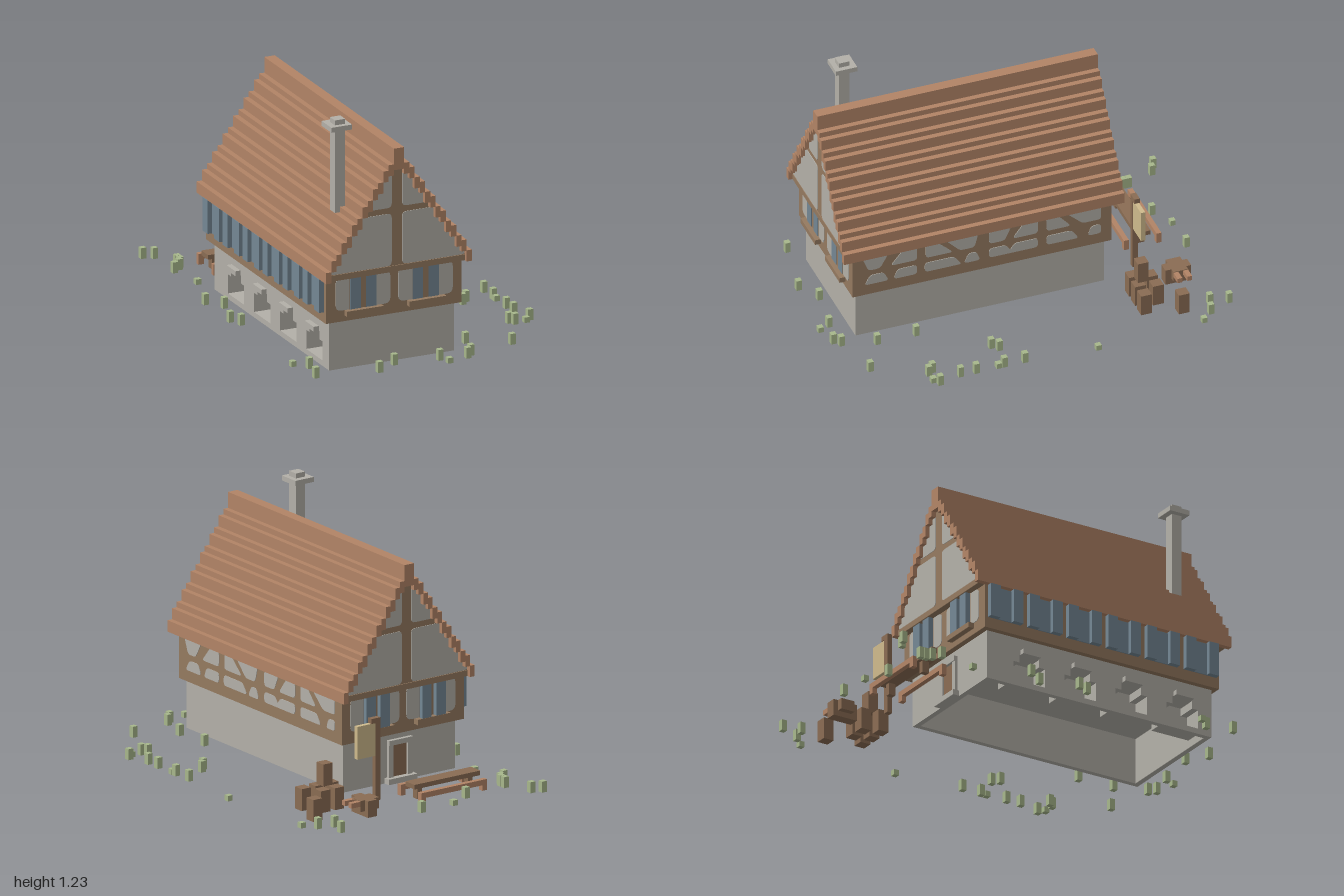
import * as THREE from 'three';

const V = 0.0277; // block unit
const CX = -0.197; // centre line of the house

const mat = (name, color, side = THREE.FrontSide) => {
  const m = new THREE.MeshStandardMaterial({ color, side });
  m.name = name;
  return m;
};

export function createModel() {
  const model = new THREE.Group();
  model.name = 'timberHouse';
  const stone = mat('stone', 0xb3b0a8);
  const timber = mat('timber', 0x957a60);
  const darkWood = mat('darkWood', 0x8a6c53);
  const brick = mat('roofTile', 0xb28466);
  const blue = mat('blueShutter', 0x748794);
  const green = mat('grass', 0xa7b78b);
  const tan = mat('signBoard', 0xcfba8c);

  const group = (name, parent = model) => {
    const g = new THREE.Group();
    g.name = name;
    parent.add(g);
    return g;
  };
  // box given by its extents
  const box = (name, m, x0, x1, y0, y1, z0, z1, parent = model) => {
    const mesh = new THREE.Mesh(new THREE.BoxGeometry(x1 - x0, y1 - y0, z1 - z0), m);
    mesh.position.set((x0 + x1) / 2, (y0 + y1) / 2, (z0 + z1) / 2);
    mesh.name = name;
    parent.add(mesh);
    return mesh;
  };
  const polygon = (pts) => new THREE.Shape(pts.map(([x, y]) => new THREE.Vector2(x, y)));
  const extrude = (name, m, shape, depth, parent) => {
    const geo = new THREE.ExtrudeGeometry(shape, { depth, bevelEnabled: false, curveSegments: 4 });
    const mesh = new THREE.Mesh(geo, m);
    mesh.name = name;
    parent.add(mesh);
    return mesh;
  };
  // thin infill plate with softened corners
  const panel = (pts, parent, r = 0.022) => {
    const s = new THREE.Shape();
    const P = pts.map(([x, y]) => new THREE.Vector2(x, y));
    P.forEach((p, i) => {
      const a = P[(i + P.length - 1) % P.length], b = P[(i + 1) % P.length];
      const near = (q) => p.clone().lerp(q, Math.min(0.4, r / p.distanceTo(q)));
      const s0 = near(a), s1 = near(b);
      if (i) s.lineTo(s0.x, s0.y); else s.moveTo(s0.x, s0.y);
      s.quadraticCurveTo(p.x, p.y, s1.x, s1.y);
    });
    s.closePath();
    return extrude('plasterPanel', stone, s, 0.004, parent);
  };
  const rect = (x0, x1, y0, y1) => [[x0, y0], [x1, y0], [x1, y1], [x0, y1]];

  // Ground floor: hollow stone shell, open below
  const base = group('stoneBase');
  box('frontWall', stone, -0.53, 0.135, 0, 0.25, 0.835 - V, 0.835, base);
  box('backWall', stone, -0.53, 0.135, 0, 0.25, -0.44, -0.44 + V, base);
  box('leftWall', stone, 0.135 - V, 0.135, 0, 0.25, -0.44 + V, 0.835 - V, base);
  box('ceiling', stone, -0.53 + V, 0.135 - V, 0.235, 0.25, -0.44 + V, 0.835 - V, base);

  // Right wall with arched niches; shape is drawn along z, then turned to face -x
  const rightWall = group('rightWall', base);
  rightWall.rotation.y = -Math.PI / 2;
  rightWall.position.x = -0.53 + V;
  const arch = (c, g) => [
    [c - 0.09 - g, V - g], [c + 0.09 + g, V - g], [c + 0.09 + g, 0.125 + g], [c + 0.055 + g, 0.125 + g],
    [c + 0.055 + g, 0.165 + g], [c - 0.055 - g, 0.165 + g], [c - 0.055 - g, 0.125 + g], [c - 0.09 - g, 0.125 + g]];
  const wallShape = polygon(rect(-0.44 + V, 0.835 - V, 0, 0.25));
  for (const c of [-0.2, 0.09, 0.38, 0.67]) {
    const hole = polygon(arch(c, 0));
    wallShape.holes.push(hole);
    const ring = polygon(arch(c, 0.015));
    ring.holes.push(hole);
    extrude('nicheSides', stone, ring, 0.075, rightWall).position.z = -V - 0.075;
    extrude('nicheBack', stone, polygon(arch(c, 0.015)), 0.01, rightWall).position.z = -V - 0.085;
    box('nicheHood', stone, -0.53 - V, -0.53, 0.165, 0.19, c - 0.05, c + 0.05, base);
  }
  extrude('nichedWall', stone, wallShape, V, rightWall).position.z = 0;
  rightWall.children.forEach((m) => { if (m.name !== 'nichedWall') m.position.z += V; });
  rightWall.position.x = -0.53 + V;

  // Back door with surround and step
  const door = group('backDoor');
  box('doorLeaf', darkWood, -0.24, -0.155, V, 0.19, -0.445, -0.44, door);
  for (const s of [-1, 1]) box('doorJamb', stone, CX + s * 0.056 - 0.014, CX + s * 0.056 + 0.014, 0, 0.19, -0.455, -0.44, door);
  box('doorLintel', stone, CX - 0.07, CX + 0.07, 0.19, 0.215, -0.46, -0.44, door);
  box('doorStep', stone, CX - 0.085, CX + 0.085, 0, V, -0.475, -0.44, door);

  // Upper storey
  box('upperStorey', timber, -0.56, 0.163, 0.25, 0.475, -0.47, 0.86);
  const leftSide = group('leftInfill');
  leftSide.rotation.y = Math.PI / 2;
  leftSide.position.x = 0.162;
  // corners along -z: [bottom left, bottom right, top right, top left]
  const rows = [
    [0.39, 0.468, [[-0.78, -0.72, -0.675, -0.81], [-0.665, -0.53, -0.53, -0.6], [-0.485, -0.345, -0.43, -0.485],
      [-0.31, -0.235, -0.215, -0.385], [-0.16, -0.08, -0.045, -0.16], [-0.04, 0.09, 0.09, 0.02],
      [0.135, 0.26, 0.19, 0.135], [0.32, 0.415, 0.415, 0.235]]],
    [0.308, 0.36, [[-0.8, -0.675, -0.7, -0.77], [-0.65, -0.53, -0.53, -0.63], [-0.49, -0.3, -0.34, -0.49],
      [-0.29, -0.205, -0.225, -0.265], [-0.16, -0.035, -0.075, -0.16], [-0.065, 0.09, 0.09, -0.03],
      [0.135, 0.3, 0.265, 0.135], [0.345, 0.415, 0.415, 0.365]]]];
  for (const [y0, y1, quads] of rows)
    for (const [a, b, c, d] of quads) panel([[a, y0], [b, y0], [c, y1], [d, y1]], leftSide, 0.018);

  // Gables with timber frame, one at each end
  const gableShape = polygon([[-0.38, 0.49], [0.38, 0.49], [0, 1.06]]);
  const gableCore = extrude('gableCore', timber, gableShape, 1.39, model);
  gableCore.position.set(CX, 0, -0.5);
  box('floorBeam', timber, -0.557, 0.163, 0.475, 0.505, -0.505, 0.895);

  const makeEnd = (name, back) => {
    const end = group(name);
    end.position.x = CX;
    if (back) end.rotation.y = Math.PI;
    const gable = group('gableInfill', end);
    gable.position.z = back ? 0.499 : 0.889;
    for (const s of [-1, 1]) {
      const order = (p) => (s > 0 ? p : p.map(([x, y]) => [-x, y]).reverse());
      panel(order([[0.028, 0.507], [0.366, 0.507], [0.195, 0.773], [0.028, 0.773]]), gable);
      panel(order([[0.028, 0.803], [0.175, 0.803], [0.045, 1.0], [0.028, 1.0]]), gable);
    }
    const wall = group('endWall', end);
    wall.position.z = back ? 0.469 : 0.859;
    for (const s of [-1, 1]) {
      const c = s * 0.166;
      panel(rect(c - 0.145, c + 0.145, 0.307, 0.474), wall, 0.03);
      box('windowPost', timber, c - 0.072, c + 0.072, 0.3, 0.475, 0, 0.005, wall);
      for (const t of [-1, 1]) {
        const w = c + t * 0.042;
        box('shutter', blue, w - V, w + V, 0.305, 0.475, 0, back ? 0.03 : 0.008, wall);
      }
      box('windowSill', timber, c - 0.098, c + 0.098, 0.28, 0.307, 0, 0.031, wall);
    }
  };
  makeEnd('frontEnd', false);
  makeEnd('backEnd', true);

  // Row of shuttered windows along the right side
  const windows = group('rightWindows');
  for (let i = 0; i < 6; i++) {
    const c = -0.36 + i * 0.222;
    box('pane', blue, -0.565, -0.56, 0.305, 0.47, c - 0.04, c + 0.04, windows);
    for (const s of [-1, 1])
      box('shutter', blue, -0.56 - V, -0.56, 0.305, 0.475, c + s * 0.065 - V, c + s * 0.065 + V, windows);
  }

  // Stepped roof
  const roof = group('roof');
  box('ridge', brick, CX - V, CX + V, 1.0, 1.11, -0.525, 0.915, roof);
  for (let i = 0, top = 1.03; i < 13; i++) {
    for (const s of [-1, 1]) {
      const x = CX + s * (i + 1.5) * V;
      box('roofCourse', brick, x - V / 2, x + V / 2, top - 0.057, top, -0.525, 0.915, roof);
    }
    top -= i % 2 ? 2 * V : V;
  }

  // Chimney
  const chimney = group('chimney');
  box('stack', stone, -0.445, -0.39, 0.65, 1.225, 0.665, 0.72, chimney);
  box('cap', stone, -0.475, -0.365, 1.175, 1.2, 0.635, 0.745, chimney);

  // Table and benches
  const seating = group('tableAndBenches');
  box('tableTop', darkWood, -0.45, -0.06, 0.06, 0.083, -0.755, -0.68, seating);
  for (const x of [-0.42, -0.12]) box('tableLeg', darkWood, x, x + V, 0, 0.06, -0.735, -0.7, seating);
  for (const z of [-0.81, -0.643]) {
    box('benchSeat', brick, -0.45, -0.06, V, 0.055, z, z + 0.025, seating);
    for (const x of [-0.45, -0.06 - V]) box('benchLeg', brick, x, x + V, 0, V, z, z + 0.025, seating);
  }

  // Hanging sign on a post
  const sign = group('signPost');
  box('post', darkWood, 0.055, 0.083, 0, 0.415, -0.635, -0.607, sign);
  box('signArm', darkWood, 0.083, 0.108, 0.39, 0.415, -0.635, -0.607, sign);
  box('signBoard', tan, 0.083, 0.19, 0.225, 0.39, -0.632, -0.61, sign);

  // Wooden barrels, one stacked on top
  const barrels = group('barrels');
  for (const [x, z, y] of [[0.303, -0.615, 0], [0.385, -0.615, 0], [0.277, -0.533, 0], [0.358, -0.533, 0],
    [0.44, -0.533, 0], [0.33, -0.558, 0.11], [0.497, -0.705, 0]])
    box('barrel', darkWood, x - V, x + V, y, y + 0.11, z - V, z + V, barrels);

  // Handcart
  const cart = group('handcart');
  box('cartBody', darkWood, 0.19, 0.3, V, 0.083, -0.81, -0.735, cart);
  box('cartWheels', darkWood, 0.22, 0.275, 0, 0.083, -0.835, -0.703, cart);
  for (const z of [-0.81, -0.76]) box('cartHandle', brick, 0.3, 0.355, 0.055, 0.08, z, z + 0.025, cart);

  // Grass tufts as x, z pairs
  const grass = group('grassTufts');
  const tufts = [
    -0.65, -0.99, -0.6, -0.965, -0.295, -0.85, -0.18, -0.91, 0.01, -0.91, 0.51, -0.94, 0.485, -0.85, 0.565, -0.825,
    0.62, -0.77, -0.545, -0.825, -0.545, -0.795, -0.56, -0.77, -0.6, -0.74, -0.57, -0.545, -0.66, -0.27, -0.6, -0.185,
    -0.66, 0.005, -0.63, 0.065, 0.65, -0.215, 0.62, 0.15, 0.485, 0.23, 0.455, 0.26, 0.62, 0.255, 0.62, 0.285,
    0.62, 0.4, 0.62, 0.48, 0.54, 0.595, 0.56, 0.62, 0.62, 0.62, 0.65, 0.595, 0.23, 0.56, 0.23, 0.76, 0.425, 0.87,
    -0.66, 0.7, -0.6, 0.76, -0.63, 0.895, -0.32, 0.955, -0.21, 0.89, 0.04, 0.98, 0.015, 0.925, 0.15, 0.955, 0.18, 0.925];
  for (let i = 0; i < tufts.length; i += 2) {
    const x = tufts[i], z = tufts[i + 1], h = (i / 2) % 5 === 3 ? V : 2 * V;
    box('tuft', green, x - V / 2, x + V / 2, 0, h, z - V / 2, z + V / 2, grass);
  }
  return model;
}
